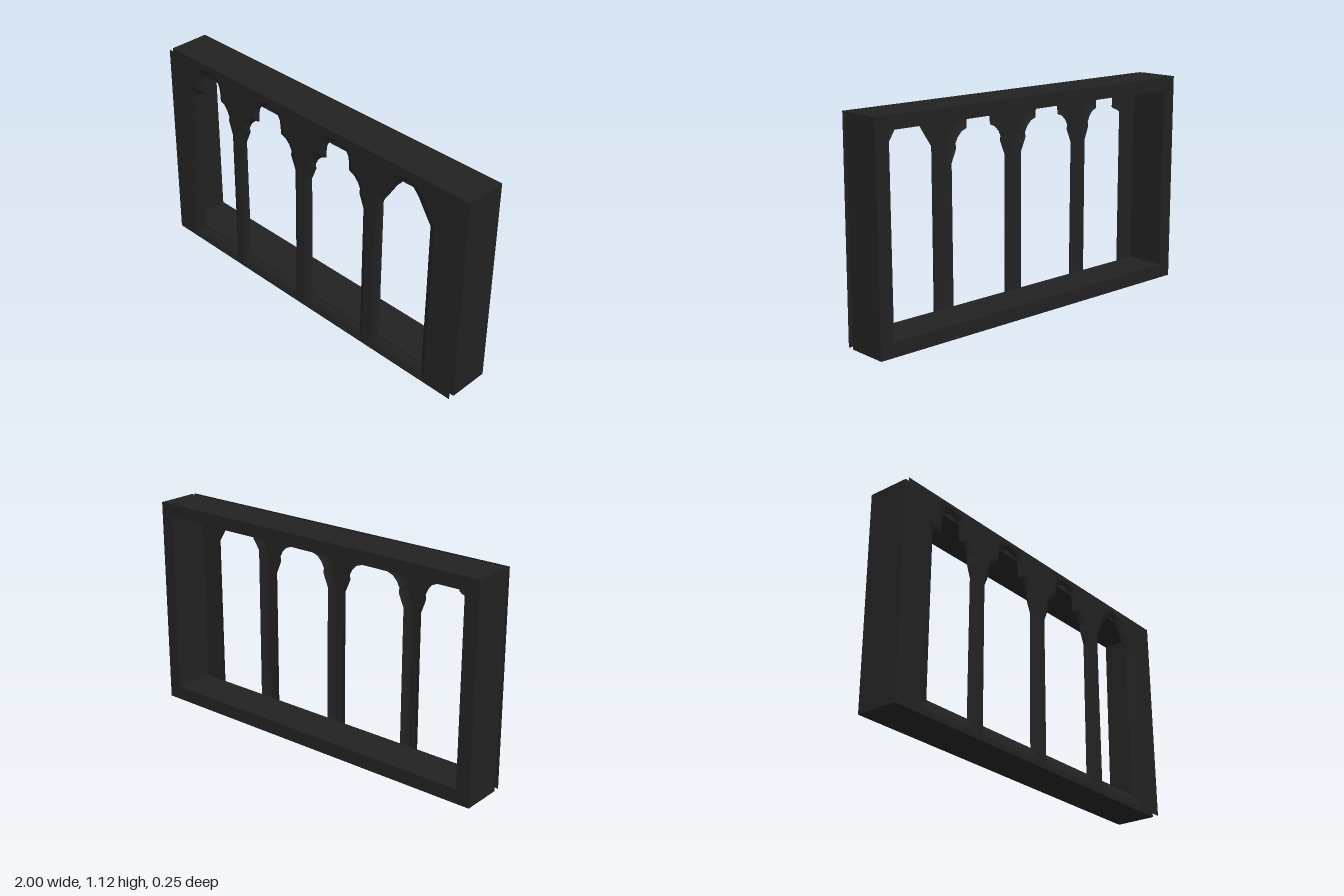
import * as THREE from 'three';

const H = 1.122;
const frontZ = (y) => 0.128 - 0.0115 * y; // the facing leans back slightly
const REVEAL_Z = 0.097;

// Half outline of a trefoil head, from sill to apex: [fraction of half width, y]
const TREFOIL = [[1, 0.07], [1, 0.8], [0.9, 0.84], [0.83, 0.87], [0.85, 0.895], [0.76, 0.925],
  [0.62, 0.95], [0.44, 0.962], [0.43, 1.0], [0.4, 1.035], [0.3, 1.065], [0, 1.085]];
// Half outline beside the end wall, without a capital
const TREFOIL_END = [[1, 0.07], [1, 0.8], [1, 0.86], [1, 0.9], [0.98, 0.925], [0.85, 0.935],
  [0.62, 0.945], [0.5, 0.955], [0.5, 1.0], [0.47, 1.035], [0.36, 1.065], [0, 1.085]];
// Half outline of a plain pointed head
const POINTED = [[1, 0.07], [1, 0.5], [1, 0.9], [0.72, 0.96], [0.45, 1.02], [0.2, 1.06], [0, 1.075]];

const WINDOWS = [
  { cx: -0.69, l: 0.12, r: 0.15, left: TREFOIL_END, right: TREFOIL, offL: 0.075, offR: 0.035 },
  { cx: -0.255, l: 0.18, r: 0.18, left: TREFOIL, right: TREFOIL, offL: 0.035, offR: 0.035 },
  { cx: 0.213, l: 0.173, r: 0.173, left: TREFOIL, right: TREFOIL, offL: 0.035, offR: 0.035 },
  { cx: 0.653, l: 0.142, r: 0.142, left: POINTED, right: POINTED, offL: 0.035, offR: 0.04 },
];

// Closed outline of a window; grow = 0 is the opening, 1 the outer edge of its reveal
function outline(w, grow) {
  const y = (v) => v + grow * (v < 0.1 ? -0.062 : v > 0.8 ? 0.022 : 0);
  const right = w.right.map(([u, v]) => [w.cx + u * w.r + (u ? w.offR * grow : 0), y(v)]);
  const left = w.left.map(([u, v]) => [w.cx - u * w.l - (u ? w.offL * grow : 0), y(v)]);
  return [...right, ...left.reverse().slice(1)];
}

function rectangle(x, y0, y1) {
  return [[-x, y0], [x, y0], [x, y1], [-x, y1]].map((p) => new THREE.Vector2(...p));
}

// Sloped, rounded band from the facing back to the opening
function revealGeometry(w) {
  const pos = [];
  const steps = [[1, 0], [0.55, 0.25], [0.2, 0.6], [0, 1]]; // [grow, depth]
  const rings = steps.map(([g, d]) => outline(w, g).map(([x, y]) =>
    [x, y, THREE.MathUtils.lerp(frontZ(y), REVEAL_Z, d)]));
  for (let k = 0; k < rings.length - 1; k++) {
    const a = rings[k], b = rings[k + 1];
    for (let i = 0; i < a.length; i++) {
      const j = (i + 1) % a.length;
      pos.push(...a[i], ...a[j], ...b[i], ...a[j], ...b[j], ...b[i]);
    }
  }
  const g = new THREE.BufferGeometry();
  g.setAttribute('position', new THREE.Float32BufferAttribute(pos, 3));
  g.computeVertexNormals();
  return g;
}

export function createModel() {
  const group = new THREE.Group();
  const stone = new THREE.MeshStandardMaterial({ color: 0x222222, side: THREE.DoubleSide });
  stone.name = 'dark stone';
  const add = (geometry, name) => {
    const mesh = new THREE.Mesh(geometry, stone);
    mesh.name = name;
    group.add(mesh);
  };

  // Deep rectangular surround, open at the back
  const frame = new THREE.Shape(rectangle(1, 0, H));
  frame.holes.push(new THREE.Path(rectangle(0.925, 0.075, 1.054)));
  const frameGeo = new THREE.ExtrudeGeometry(frame, { depth: 0.22, bevelEnabled: false });
  frameGeo.translate(0, 0, -0.125);
  add(frameGeo, 'frame');

  // Thin leaning facing with the mullions between the windows
  const facing = new THREE.Shape(rectangle(1, 0, H));
  for (const w of WINDOWS) {
    facing.holes.push(new THREE.Path(outline(w, 1).map((p) => new THREE.Vector2(...p))));
  }
  const facingGeo = new THREE.ShapeGeometry(facing);
  const p = facingGeo.attributes.position;
  for (let i = 0; i < p.count; i++) p.setZ(i, frontZ(p.getY(i)));
  facingGeo.computeVertexNormals();
  add(facingGeo, 'facing');

  // Window reveals, shaping columns, capitals, sills and arches
  WINDOWS.forEach((w, i) => add(revealGeometry(w), `windowReveal${i + 1}`));
  return group;
}
